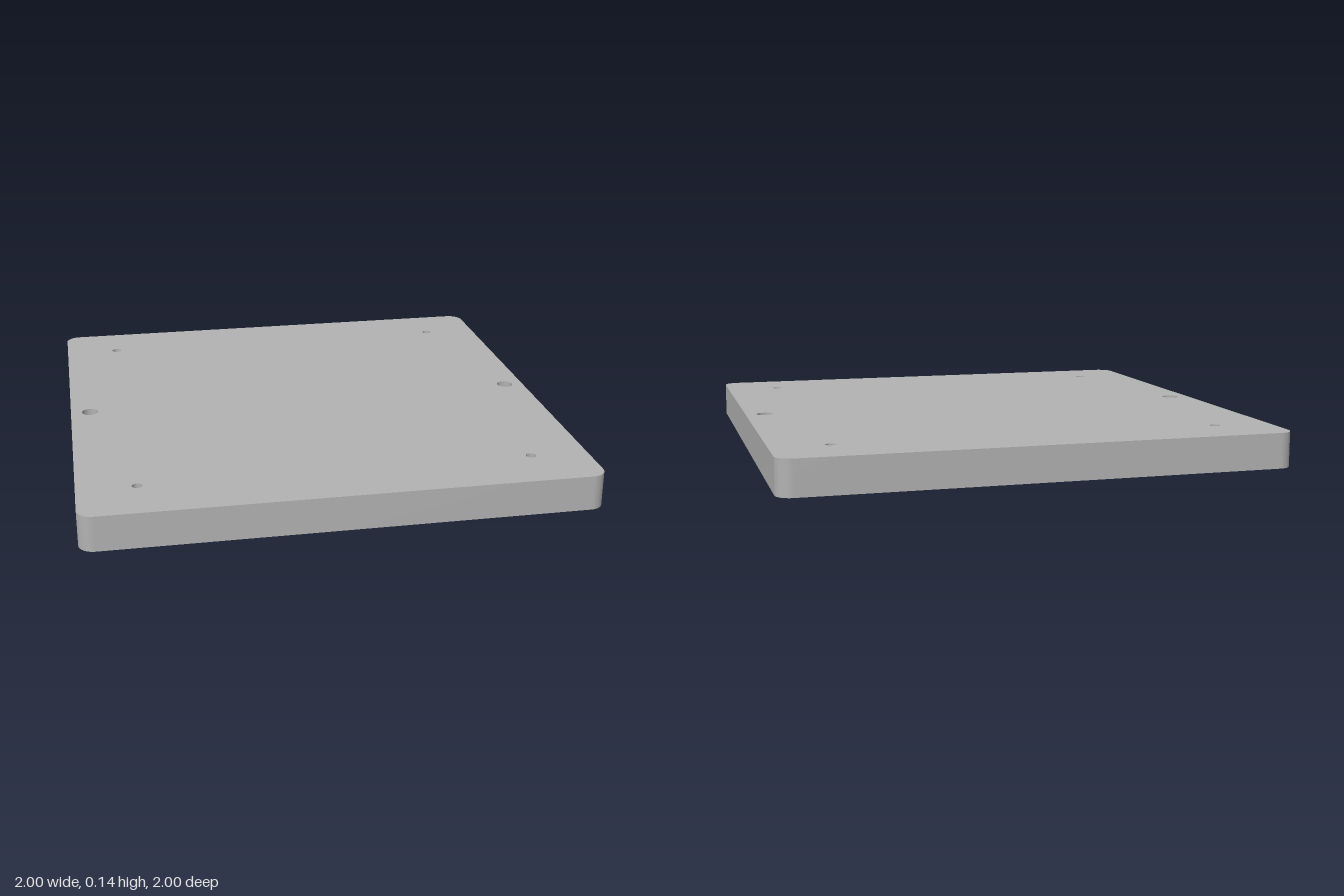
import * as THREE from 'three';
import { toCreasedNormals } from 'three/addons/utils/BufferGeometryUtils.js';

const TOP = 0.14, UNDER = 0.105, FLOOR = 0.04, LEDGE = 0.025;
const INNER = 0.92, STEP = 0.96, HOLE_R = 0.034, SCREW = 0.77, SCREW_R = 0.02;
const SEG = 16;

// Rounded square outline; notch = 1 bulges a half circle out of the two sides, -1 dents it in
function roundedSquare(a, r, notch = 0) {
  const s = new THREE.Shape(), c = a - r, H = Math.PI / 2;
  s.moveTo(a, -c);
  if (notch) { s.lineTo(a, -HOLE_R); s.absarc(a, 0, HOLE_R, -H, notch > 0 ? H : -3 * H, notch < 0); }
  s.lineTo(a, c);
  s.absarc(c, c, r, 0, H, false);
  s.lineTo(-c, a);
  s.absarc(-c, c, r, H, 2 * H, false);
  if (notch) { s.lineTo(-a, HOLE_R); s.absarc(-a, 0, HOLE_R, H, notch > 0 ? 3 * H : -H, notch < 0); }
  s.lineTo(-a, -c);
  s.absarc(-c, -c, r, 2 * H, 3 * H, false);
  s.lineTo(c, -a);
  s.absarc(c, -c, r, 3 * H, 4 * H, false);
  return s;
}

function disc(x, y, r, start = 0, sweep = Math.PI * 2) {
  const s = new THREE.Shape();
  s.absarc(x, y, r, start, start + sweep, false);
  return s;
}

// Vertical band following an outline
function band(shape, y0, y1, inward) {
  const pts = shape.getPoints(SEG), pos = [];
  pts.forEach((p, i) => {
    let a = p, b = pts[(i + 1) % pts.length];
    if (a.distanceTo(b) < 1e-6) return;
    if (inward) [a, b] = [b, a];
    pos.push(a.x, y0, -a.y, b.x, y0, -b.y, b.x, y1, -b.y);
    pos.push(a.x, y0, -a.y, b.x, y1, -b.y, a.x, y1, -a.y);
  });
  const g = new THREE.BufferGeometry();
  g.setAttribute('position', new THREE.Float32BufferAttribute(pos, 3));
  return toCreasedNormals(g, 0.6);
}

// Horizontal face with holes, looking up or down
function face(shape, holes, y, up) {
  shape.holes = holes;
  return new THREE.ShapeGeometry(shape, SEG).rotateX(up ? -Math.PI / 2 : Math.PI / 2).translate(0, y, 0);
}

export function createModel() {
  const model = new THREE.Group();
  model.name = 'lid';
  const grey = new THREE.MeshStandardMaterial({ color: 0xb3b3b3 });
  grey.name = 'grey';
  const add = (name, geometry) => {
    const mesh = new THREE.Mesh(geometry, grey);
    mesh.name = name;
    model.add(mesh);
  };

  const outer = () => roundedSquare(1, 0.06);
  const step = () => roundedSquare(STEP, 0.035);
  const inner = (notch) => roundedSquare(INNER, 0.025, notch);
  const screws = [], sideHoles = [];
  for (const sx of [-1, 1]) {
    sideHoles.push(disc(sx * INNER, 0, HOLE_R));
    for (const sz of [-1, 1]) screws.push(disc(sx * SCREW, sz * SCREW, SCREW_R));
  }

  // Top plate and its holes
  add('topFace', face(outer(), [...screws, ...sideHoles], TOP, true));
  add('plateUnderside', face(inner(-1), screws, UNDER, false));
  for (const s of screws) add('screwHole', band(s, UNDER, TOP, true));
  for (const s of sideHoles) add('sideHole', band(s, UNDER, TOP, true));

  // Walls, with the side holes sunk halfway into them
  add('outerWall', band(outer(), 0, TOP, false));
  add('innerWall', band(inner(1), FLOOR, UNDER, true));
  add('innerWallFoot', band(inner(0), LEDGE, FLOOR, true));
  for (const sx of [-1, 1]) {
    const half = disc(sx * INNER, 0, HOLE_R, sx > 0 ? -Math.PI / 2 : Math.PI / 2, Math.PI);
    add('sideHoleFloor', face(half, [], FLOOR, true));
  }

  // Stepped rim underneath
  add('ledge', face(step(), [inner(0)], LEDGE, false));
  add('stepWall', band(step(), 0, LEDGE, true));
  add('bottomRim', face(outer(), [step()], 0, false));
  return model;
}
